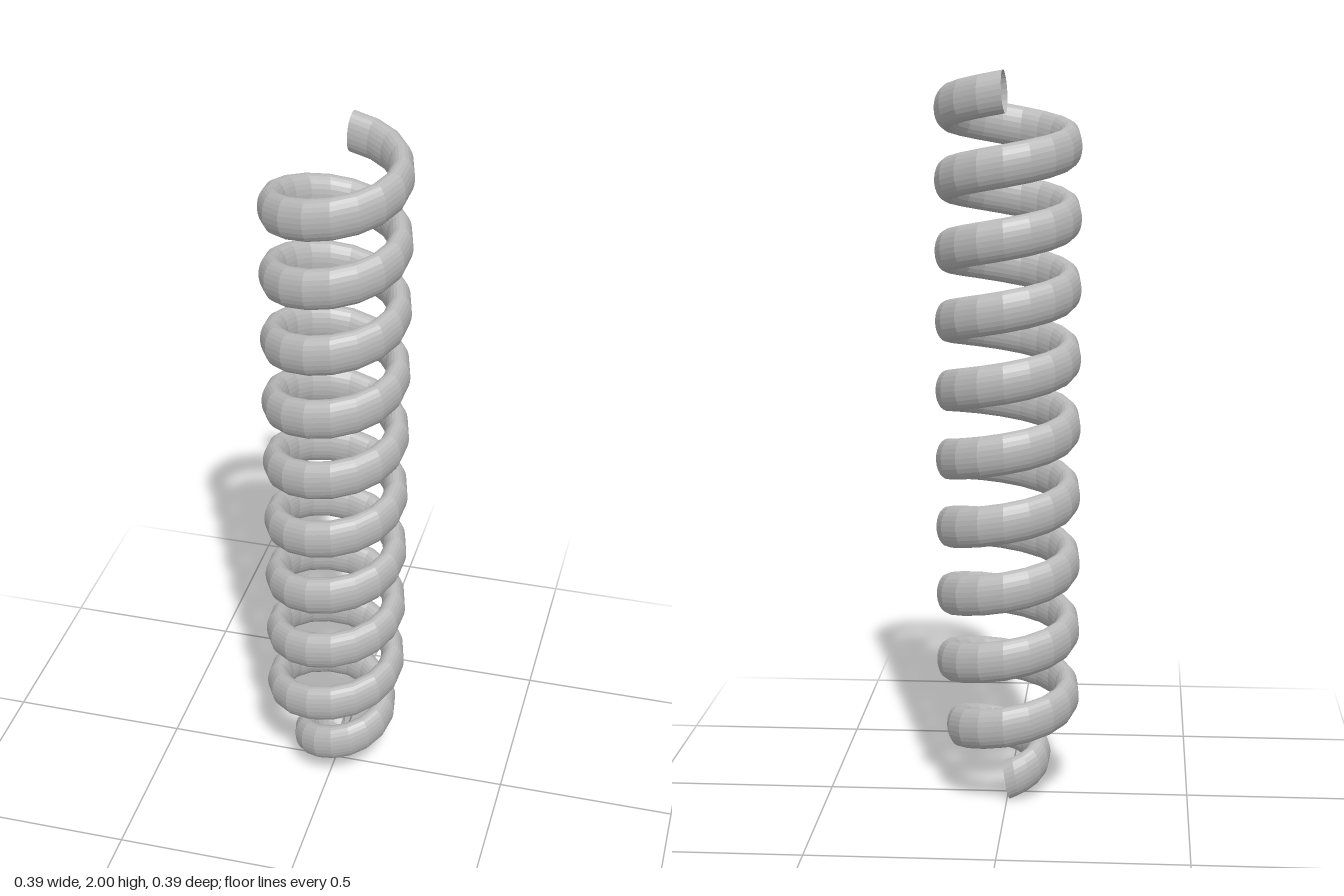
import * as THREE from 'three';

const TURNS = 10;
const STEPS = TURNS * 17;
const STRETCH = 1.72; // the coil is drawn out upwards, so its section is a tall oval
const Y_START = 0.057;
const Y_END = 1.944;

// Helix whose first turn widens from the small foot to the full radius
class CoilCurve extends THREE.Curve {
  getPoint(t, target = new THREE.Vector3()) {
    const turn = t * TURNS;
    const angle = turn * Math.PI * 2;
    const radius = 0.055 + 0.11 * Math.min(turn, 1);
    const y = (Y_START + (Y_END - Y_START) * t) / STRETCH;
    return target.set(-Math.sin(angle) * radius, y, -Math.cos(angle) * radius);
  }

  // Direction between neighbouring steps; the ends are cut square to their last step
  getTangent(t, target = new THREE.Vector3()) {
    const before = this.getPoint(Math.max(t - 1 / STEPS, 0));
    const after = this.getPoint(Math.min(t + 1 / STEPS, 1));
    return target.subVectors(after, before).normalize();
  }

  // Even steps in angle, so the facets of all turns line up
  getUtoTmapping(u) {
    return u;
  }
}

export function createModel() {
  const group = new THREE.Group();
  group.name = 'coilSpring';

  const steel = new THREE.MeshStandardMaterial({
    color: 0xb8b8b8,
    flatShading: true,
    side: THREE.DoubleSide,
  });
  steel.name = 'grey steel';

  // Wire, open at both ends
  const wire = new THREE.TubeGeometry(new CoilCurve(), STEPS, 0.0325, 24, false);
  wire.scale(1, STRETCH, 1);
  const coil = new THREE.Mesh(wire, steel);
  coil.name = 'coil';
  group.add(coil);

  return group;
}
